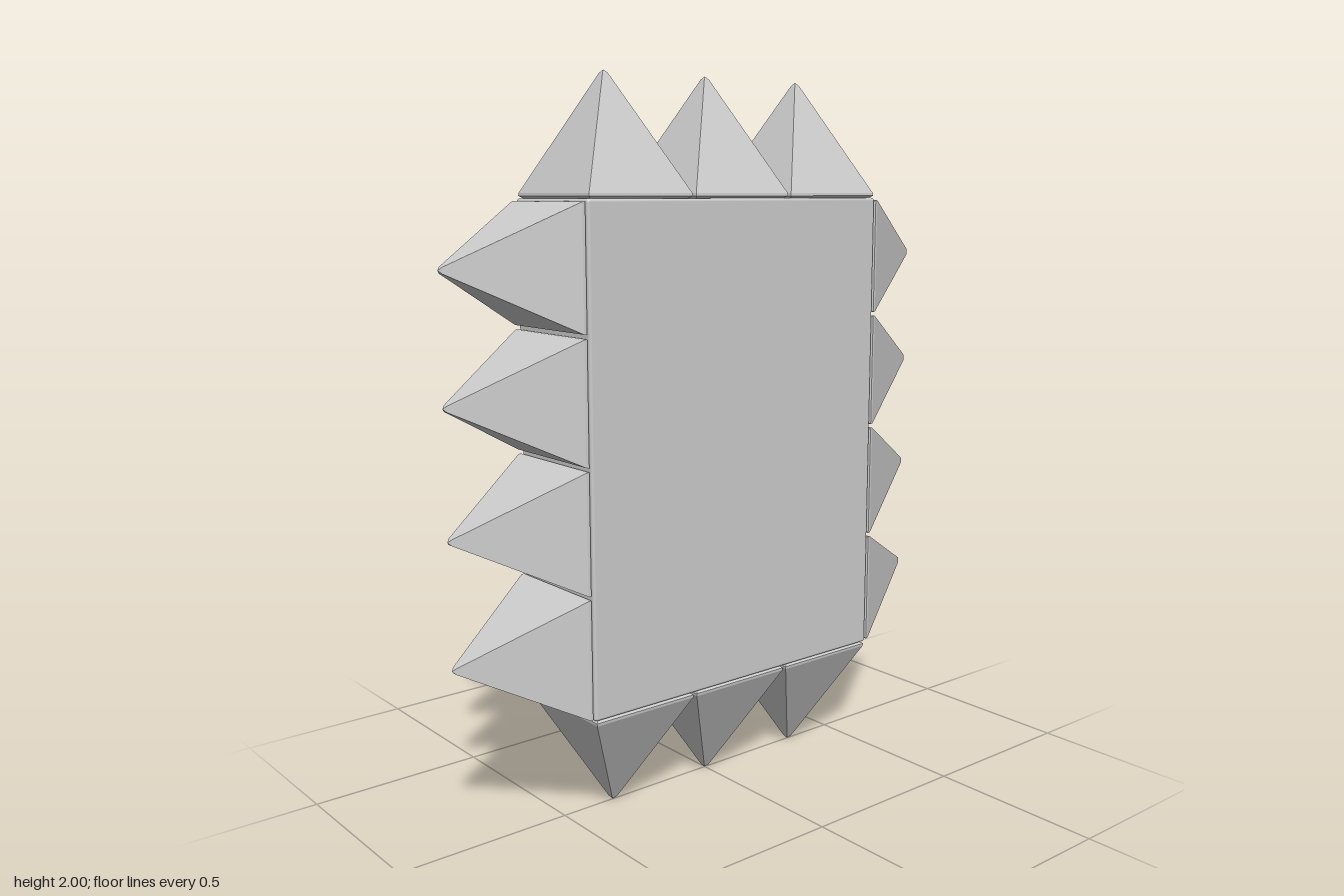
import * as THREE from 'three';
import { RoundedBoxGeometry } from 'three/addons/geometries/RoundedBoxGeometry.js';

const HALF_W = 0.506, HALF_H = 0.675, DEPTH = 0.33, PITCH = 0.337, CENTRE_Y = 1;

// Square pyramid with a bevelled base and a slightly blunted tip, pointing up +y
function spikeGeometry() {
  const profile = [[0, 0], [0.154, 0], [0.163, 0.006], [0.162, 0.014], [0.008, 0.317], [0, 0.325]]
    .map(([half, y]) => new THREE.Vector2(half * Math.SQRT2, y));
  return new THREE.LatheGeometry(profile, 4, Math.PI / 4);
}

export function createModel() {
  const model = new THREE.Group();
  const smooth = new THREE.MeshStandardMaterial({ color: 0xcccccc });
  const faceted = new THREE.MeshStandardMaterial({ color: 0xcccccc, flatShading: true });

  // Flat rectangular body with thin softened edges
  const slab = new THREE.Mesh(new RoundedBoxGeometry(HALF_W * 2, HALF_H * 2, DEPTH, 2, 0.008), smooth);
  slab.name = 'slab';
  slab.position.y = CENTRE_Y;
  model.add(slab);

  // A row of spikes along each of the four edges
  const geometry = spikeGeometry();
  const rows = [
    { name: 'topSpikes', angle: 0, count: 3, offset: HALF_H },
    { name: 'bottomSpikes', angle: Math.PI, count: 3, offset: HALF_H },
    { name: 'leftSpikes', angle: -Math.PI / 2, count: 4, offset: HALF_W },
    { name: 'rightSpikes', angle: Math.PI / 2, count: 4, offset: HALF_W },
  ];
  for (const { name, angle, count, offset } of rows) {
    const row = new THREE.Group();
    row.name = name;
    row.position.y = CENTRE_Y;
    row.rotation.z = angle;
    for (let i = 0; i < count; i++) {
      const spike = new THREE.Mesh(geometry, faceted);
      spike.name = 'spike';
      spike.position.set((i - (count - 1) / 2) * PITCH, offset, 0);
      row.add(spike);
    }
    model.add(row);
  }
  return model;
}
